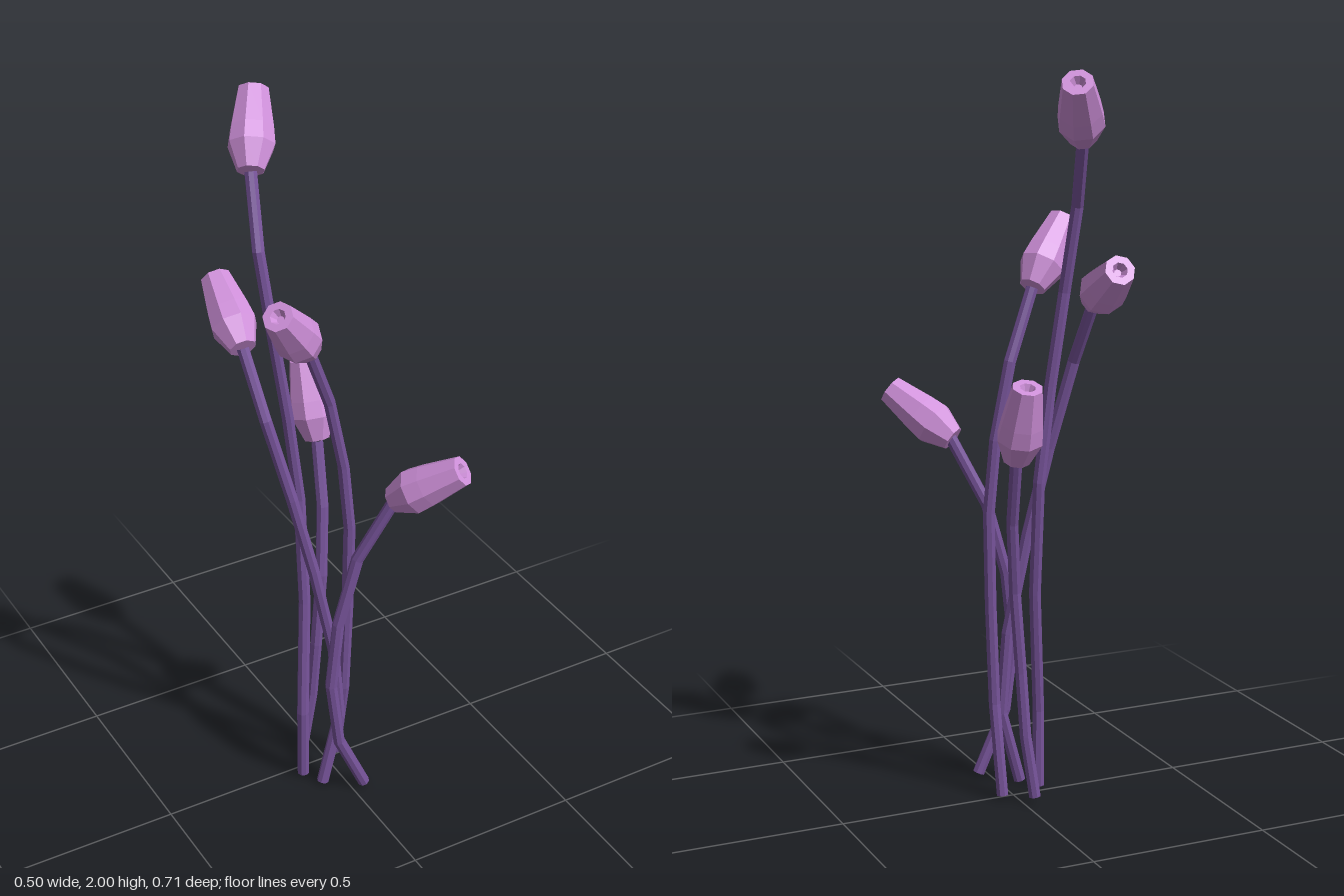
import * as THREE from 'three';

const SIDES = 8;
const STEM_RADIUS = 0.017;
const BUD_LENGTH = 0.222;

const stemMaterial = new THREE.MeshStandardMaterial({ color: 0x765399, flatShading: true });
const budMaterial = new THREE.MeshStandardMaterial({ color: 0xcf90da, flatShading: true });

// Each flower: stem points from the ground up to the bud base, then the bud tip
const FLOWERS = [
  { // tallest, leaning back
    stem: [[-0.09, 0.01, 0.03], [-0.09, 0.23, 0.03], [-0.06, 0.58, -0.01], [-0.055, 0.9, -0.045],
      [-0.085, 1.16, -0.05], [-0.12, 1.41, -0.06], [-0.137, 1.64, -0.1], [-0.11, 1.82, -0.185]],
    tip: [-0.025, 1.972, -0.326],
  },
  { // leaning forward to the right
    stem: [[0.037, 0.015, -0.01], [0.045, 0.27, 0.025], [0.055, 0.55, 0.027], [0.06, 0.81, 0.027],
      [0.043, 1.01, 0.022], [0, 1.22, 0.022], [-0.075, 1.41, 0.045]],
    tip: [-0.203, 1.578, 0.122],
  },
  { // leaning back on the right
    stem: [[-0.06, 0.01, 0.09], [0, 0.22, 0.08], [-0.015, 0.45, 0.072], [-0.07, 0.73, 0.06],
      [-0.125, 0.97, 0.042], [-0.18, 1.21, 0.005], [-0.195, 1.385, -0.085]],
    tip: [-0.172, 1.494, -0.277],
  },
  { // short, at the back
    stem: [[-0.03, 0.025, -0.077], [-0.005, 0.2, -0.07], [0.005, 0.38, -0.062], [0.025, 0.61, -0.066],
      [0.048, 0.81, -0.1], [0.062, 0.99, -0.155]],
    tip: [0.066, 1.202, -0.235],
  },
  { // short, leaning forward to the left
    stem: [[0.035, 0.02, 0.16], [-0.045, 0.2, 0.157], [-0.068, 0.4, 0.152], [-0.045, 0.6, 0.15],
      [0.01, 0.8, 0.155], [0.1, 0.99, 0.198]],
    tip: [0.222, 1.108, 0.325],
  },
];

// Closed bud: narrow base, broad shoulder, flat top with a small pit
const budGeometry = new THREE.LatheGeometry([
  [0, 0], [0.036, 0], [0.063, 0.068], [0.058, 0.115], [0.041, BUD_LENGTH],
  [0.021, BUD_LENGTH], [0.01, BUD_LENGTH - 0.02], [0, BUD_LENGTH - 0.02],
].map(([r, y]) => new THREE.Vector2(r, y)), SIDES);

function createStem(points) {
  // Rings sit exactly on the given points so the bends stay faceted
  const curve = new THREE.CatmullRomCurve3(points);
  curve.getPointAt = curve.getPoint;
  curve.getTangentAt = curve.getTangent;
  const stem = new THREE.Group();
  stem.name = 'stem';
  const tube = new THREE.Mesh(
    new THREE.TubeGeometry(curve, points.length - 1, STEM_RADIUS, SIDES), stemMaterial);
  tube.name = 'stemTube';

  // Cut end at the ground
  const cut = new THREE.Mesh(new THREE.CircleGeometry(STEM_RADIUS, SIDES), stemMaterial);
  cut.name = 'stemCutEnd';
  cut.position.copy(points[0]);
  cut.quaternion.setFromUnitVectors(new THREE.Vector3(0, 0, 1), curve.getTangent(0).negate());
  stem.add(tube, cut);
  return stem;
}

function createBud(base, tip) {
  const direction = tip.clone().sub(base).normalize();
  const bud = new THREE.Mesh(budGeometry, budMaterial);
  bud.name = 'bud';
  bud.position.copy(tip).addScaledVector(direction, -BUD_LENGTH);
  bud.quaternion.setFromUnitVectors(new THREE.Vector3(0, 1, 0), direction);
  return bud;
}

export function createModel() {
  const model = new THREE.Group();
  model.name = 'flowerBunch';
  FLOWERS.forEach(({ stem, tip }, i) => {
    const points = stem.map((p) => new THREE.Vector3(...p));
    const flower = new THREE.Group();
    flower.name = `flower${i + 1}`;
    flower.add(createStem(points), createBud(points[points.length - 1], new THREE.Vector3(...tip)));
    model.add(flower);
  });
  return model;
}
